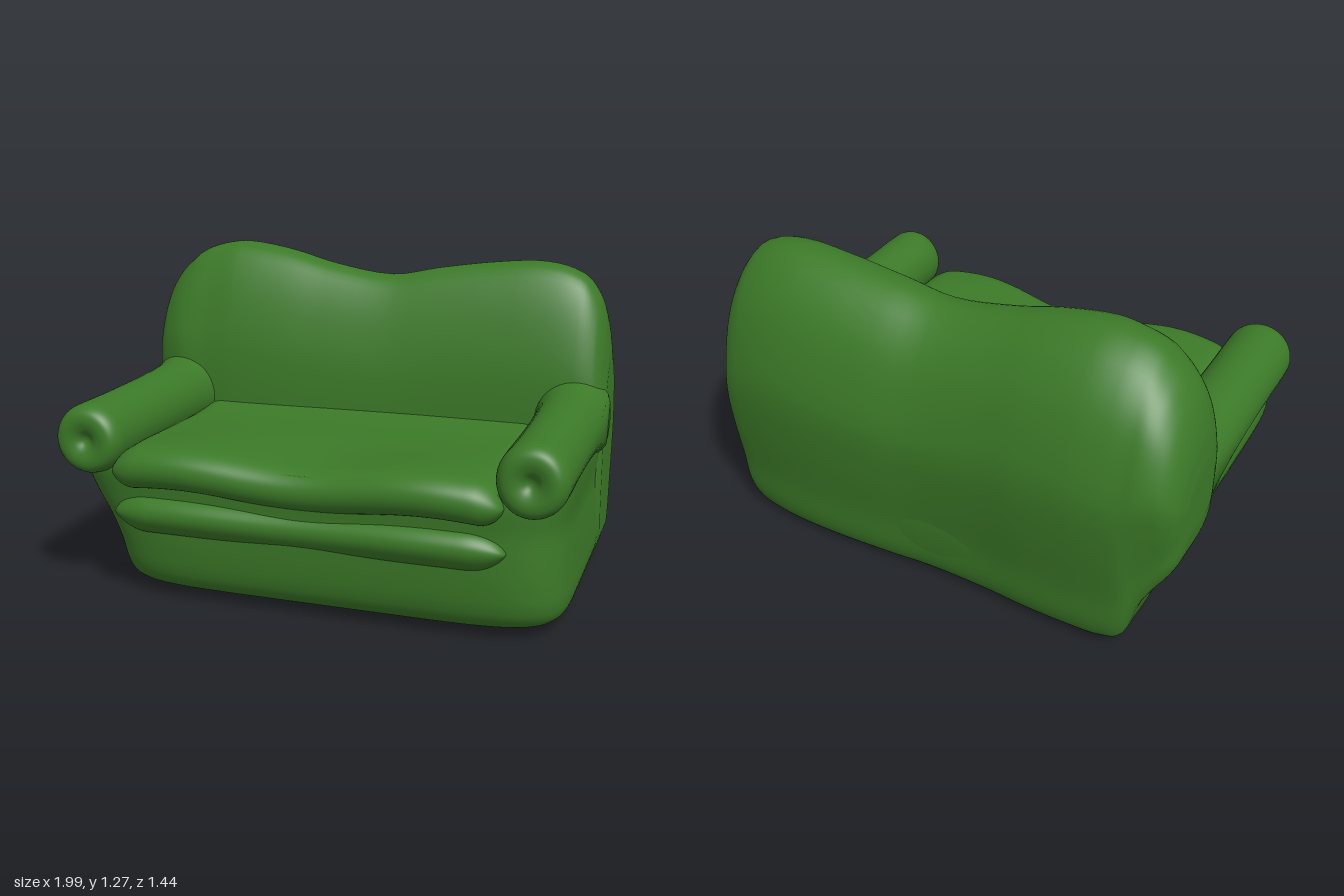
import * as THREE from 'three';

// Skin a closed surface over matching loops of points, with fan caps
function loft(rings) {
  const n = rings[0].length, pos = [], idx = [];
  for (const ring of rings) for (const p of ring) pos.push(p.x, p.y, p.z);
  for (let i = 0; i < rings.length - 1; i++) {
    for (let j = 0; j < n; j++) {
      const a = i * n + j, b = i * n + (j + 1) % n;
      idx.push(a, b, b + n, a, b + n, a + n);
    }
  }
  [0, rings.length - 1].forEach((r, end) => {
    const c = new THREE.Vector3();
    rings[r].forEach(p => c.addScaledVector(p, 1 / n));
    const m = pos.length / 3;
    pos.push(c.x, c.y, c.z);
    for (let j = 0; j < n; j++) {
      const a = r * n + j, b = r * n + (j + 1) % n;
      if (end) idx.push(m, a, b); else idx.push(m, b, a);
    }
  });
  const g = new THREE.BufferGeometry();
  g.setAttribute('position', new THREE.Float32BufferAttribute(pos, 3));
  g.setIndex(idx);
  g.computeVertexNormals();
  return g;
}

// Smooth closed loop of 2D points
function loop(points, count) {
  const c = new THREE.CatmullRomCurve3(points.map(p => new THREE.Vector3(p[0], p[1], 0)), true);
  return c.getPoints(count).slice(0, count);
}

// Smooth interpolation through rows of station values
function stations(rows, steps) {
  const out = [];
  for (let i = 0; i < rows.length - 1; i++) {
    const p = rows[Math.max(i - 1, 0)], a = rows[i], b = rows[i + 1], q = rows[Math.min(i + 2, rows.length - 1)];
    for (let s = 0; s < steps; s++) {
      const t = s / steps;
      out.push(a.map((v, k) => {
        const h = b[0] - a[0];
        const m0 = (b[k] - p[k]) / (b[0] - p[0]) * h, m1 = (q[k] - v) / (q[0] - a[0]) * h;
        const t2 = t * t, t3 = t2 * t;
        return (2 * t3 - 3 * t2 + 1) * v + (t3 - 2 * t2 + t) * m0 + (3 * t2 - 2 * t3) * b[k] + (t3 - t2) * m1;
      }));
    }
  }
  out.push(rows[rows.length - 1]);
  return out;
}

export function createModel() {
  const group = new THREE.Group();
  const green = new THREE.MeshStandardMaterial({ color: 0x3c7a28 });
  green.name = 'green fabric';
  const add = (name, geometry) => {
    const mesh = new THREE.Mesh(geometry, green);
    mesh.name = name;
    group.add(mesh);
    return mesh;
  };

  // Backrest: side profile (depth, height as fractions) swept along x
  const backProfile = loop([
    [0.40, 1], [0.25, 0.976], [0.13, 0.885], [0.04, 0.75], [0, 0.63], [0, 0.4], [0.05, 0.1],
    [0.2, 0.01], [0.6, 0], [0.78, 0.012], [0.85, 0.08], [0.885, 0.2], [0.965, 0.4], [1, 0.57],
    [0.955, 0.7], [0.85, 0.84], [0.69, 0.94], [0.53, 0.988]], 72);
  // x, bottom, top, front z, back z
  const backRows = [
    [-1.0, 0.58, 0.82, -0.32, -0.56], [-0.985, 0.48, 0.94, -0.27, -0.62], [-0.95, 0.4, 1.05, -0.22, -0.665],
    [-0.9, 0.32, 1.13, -0.19, -0.69], [-0.85, 0.22, 1.18, -0.17, -0.705], [-0.8, 0.06, 1.22, -0.16, -0.712],
    [-0.72, 0.015, 1.25, -0.16, -0.718], [-0.6, 0.005, 1.265, -0.155, -0.72], [-0.4, 0, 1.236, -0.16, -0.708],
    [-0.2, 0, 1.185, -0.17, -0.685], [0.05, 0, 1.15, -0.18, -0.675], [0.25, 0, 1.185, -0.185, -0.69],
    [0.5, 0, 1.22, -0.185, -0.7], [0.7, 0, 1.23, -0.185, -0.69], [0.85, 0.01, 1.19, -0.19, -0.665],
    [0.92, 0.03, 1.11, -0.205, -0.64], [0.955, 0.06, 1.0, -0.23, -0.61], [0.975, 0.12, 0.85, -0.27, -0.57]];
  add('backrest', loft(stations(backRows, 4).map(([x, lo, hi, zf, zb]) =>
    backProfile.map(p => new THREE.Vector3(x, lo + (hi - lo) * p.y, zf + (zb - zf) * p.x)))));

  // Base: rounded rectangles stacked upward; the right side leans in at the floor
  // y, right x, left x, front z, back z
  const baseRows = [
    [0.004, -0.62, 0.8, 0.42, -0.5], [0.015, -0.72, 0.88, 0.5, -0.55], [0.04, -0.78, 0.94, 0.56, -0.58],
    [0.1, -0.805, 0.965, 0.602, -0.6], [0.2, -0.825, 0.965, 0.622, -0.62], [0.3, -0.865, 0.96, 0.63, -0.63],
    [0.4, -0.92, 0.955, 0.635, -0.63], [0.5, -0.955, 0.965, 0.645, -0.63], [0.56, -0.955, 0.97, 0.64, -0.62]];
  const round = v => Math.sign(v) * Math.pow(Math.abs(v), 0.3);
  add('base', loft(stations(baseRows, 4).map(([y, xr, xl, zf, zb]) => {
    const ring = [];
    for (let j = 0; j < 96; j++) {
      const a = j / 96 * Math.PI * 2;
      ring.push(new THREE.Vector3((xl + xr) / 2 + (xl - xr) / 2 * round(Math.cos(a)), y,
        (zf + zb) / 2 - (zf - zb) / 2 * round(Math.sin(a))));
    }
    return ring;
  })));

  // Seat cushion and the roll below it: soft pads with a wavy front
  function pad(name, points, midY, halfWidth, taper, lift, push) {
    const profile = loop(points, 64), rings = [];
    for (let i = 0; i <= 64; i++) {
      const u = -Math.cos(i / 64 * Math.PI), x = u * halfWidth;
      const e = Math.max(0, (Math.abs(x) - halfWidth + taper) / taper);
      const s = Math.sqrt(Math.max(0.01, 1 - e * e));
      const wave = -Math.cos(x * Math.PI * 2 / 0.96) * (1 - e);
      rings.push(profile.map(p => {
        const front = THREE.MathUtils.smoothstep(p.x, 0.1, 0.65);
        return new THREE.Vector3(x + 0.01, midY + (p.y - midY) * s + lift * wave * front,
          p.x + front * (push * wave - 0.06 * (1 - s)));
      }));
    }
    return add(name, loft(rings));
  }
  pad('seatCushion', [
    [-0.3, 0.585], [0, 0.59], [0.3, 0.597], [0.55, 0.6], [0.64, 0.59], [0.685, 0.555], [0.695, 0.51],
    [0.675, 0.465], [0.62, 0.435], [0.4, 0.43], [0, 0.43], [-0.3, 0.43]], 0.51, 0.75, 0.1, 0.022, 0.022);
  pad('frontRoll', [
    [0.35, 0.41], [0.55, 0.41], [0.63, 0.405], [0.662, 0.375], [0.668, 0.34], [0.65, 0.3],
    [0.61, 0.265], [0.5, 0.26], [0.35, 0.27]], 0.34, 0.76, 0.14, 0.006, 0.014);

  // Rolled arms with a dimpled front, flaring softly into the backrest
  const armCurve = new THREE.SplineCurve([
    [0.12, -0.4], [0.165, -0.3], [0.165, -0.22], [0.147, -0.1], [0.138, 0.1], [0.135, 0.4], [0.136, 0.58],
    [0.132, 0.64], [0.112, 0.675], [0.08, 0.685], [0.045, 0.677], [0.018, 0.66], [0, 0.655]
  ].map(p => new THREE.Vector2(...p)));
  const armPoints = armCurve.getPoints(60).map(p => new THREE.Vector2(Math.max(p.x, 0), p.y));
  for (const [name, x, width] of [['rightArm', -0.833, 1], ['leftArm', 0.858, 0.95]]) {
    const g = new THREE.LatheGeometry(armPoints, 48);
    g.rotateX(Math.PI / 2);
    const p = g.attributes.position;
    // keep the outer side flush where the arm flares
    for (let i = 0; i < p.count; i++) {
      const side = Math.sign(x) * p.getX(i);
      if (side > 0.135) p.setX(i, Math.sign(x) * 0.135);
    }
    const arm = add(name, g);
    arm.scale.x = width;
    arm.position.set(x, 0.622, 0);
  }
  return group;
}
